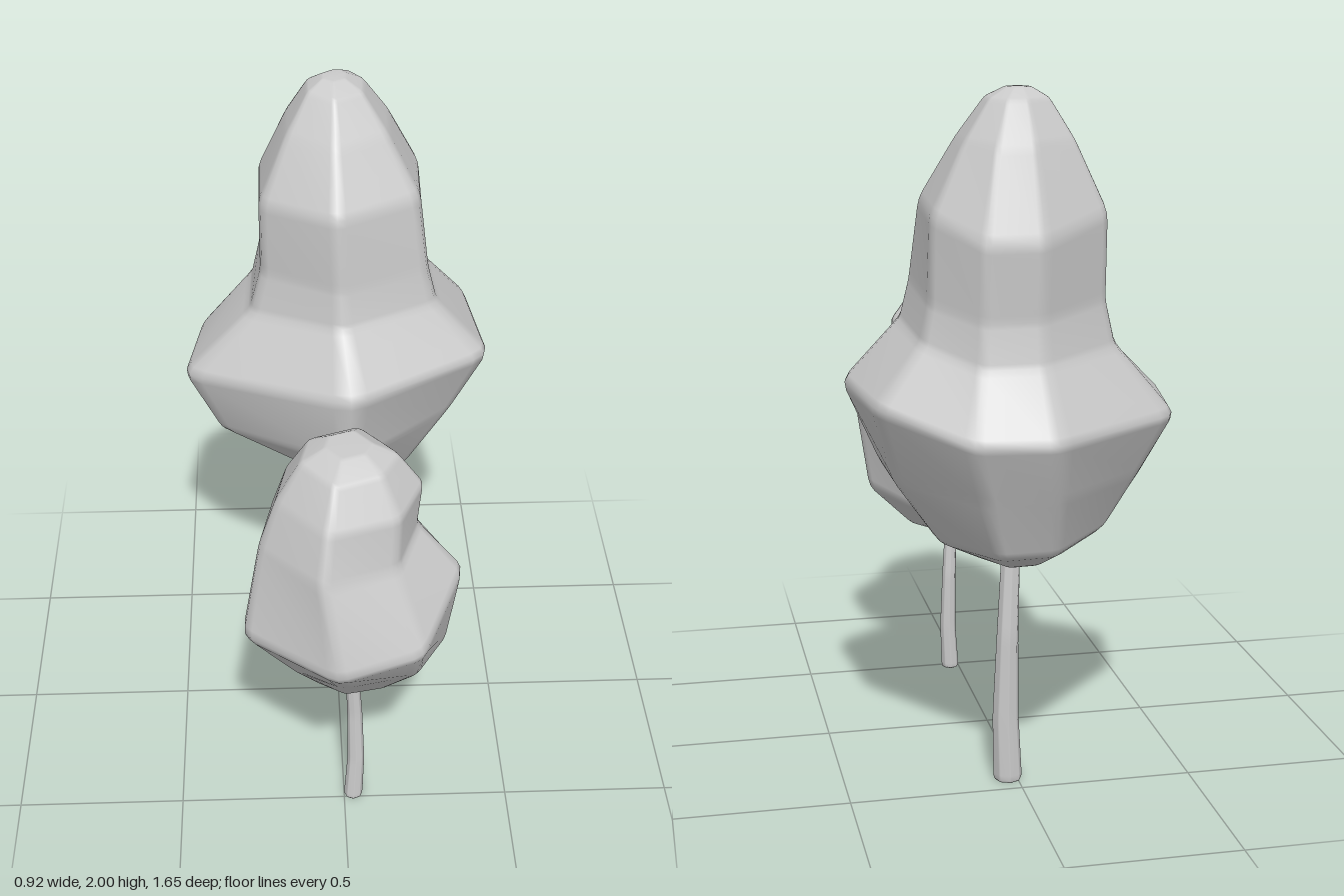
import * as THREE from 'three';
import { mergeVertices } from 'three/addons/utils/BufferGeometryUtils.js';

const mix = (a, b, t) => a.map((v, i) => v + (b[i] - v) * t);

// Replace each corner of a point list by a small three-point arc
function roundCorners(pts, closed, k = 0.11) {
  const n = pts.length, out = [];
  pts.forEach((p, i) => {
    if (!closed && (i === 0 || i === n - 1)) return out.push(p);
    const a = mix(p, pts[(i + n - 1) % n], k);
    const b = mix(p, pts[(i + 1) % n], k);
    out.push(a, mix(mix(a, b, 0.5), p, 0.5), b);
  });
  return out;
}

// Skin closed rings (bottom to top) with softened edges
function loft(rings) {
  const rows = rings.map((r) => roundCorners(r, true));
  const n = rows[0].length;
  const cols = Array.from({ length: n }, (_, j) => roundCorners(rows.map((r) => r[j]), false));
  const m = cols[0].length, index = [];
  for (let j = 0; j < n; j++) {
    for (let i = 0; i < m - 1; i++) {
      const a = j * m + i, d = ((j + 1) % n) * m + i;
      index.push(a, a + 1, d + 1, a, d + 1, d);
    }
  }
  const geo = new THREE.BufferGeometry();
  geo.setAttribute('position', new THREE.Float32BufferAttribute(cols.flat(2), 3));
  geo.setIndex(index);
  const merged = mergeVertices(geo, 1e-5);
  merged.computeVertexNormals();
  return merged;
}

// Copy of a ring shrunk towards an axis point and laid at height y
const shrink = (ring, [cx, cz], s, y) =>
  ring.map(([x, , z]) => [cx + (x - cx) * s, y, cz + (z - cz) * s]);

// Trunk from stations [x, y, z, radius], with closed ends
function trunkGeometry(stations, sides = 8) {
  const ring = ([x, y, z, r]) => Array.from({ length: sides }, (_, i) => {
    const t = (i / sides) * Math.PI * 2;
    return [x + r * Math.cos(t), y, z + r * Math.sin(t)];
  });
  const first = stations[0], last = stations[stations.length - 1];
  const cap = ([x, y, z]) => ring([x, y, z, 0]);
  return loft([cap(first), ...stations.map(ring), cap(last)]);
}

// Tall crown: seven columns, bulging below and waisted above
function tallCrown() {
  const axis = [0, -0.42];
  const low = [[-0.27, 0.8, -0.32], [-0.24, 0.77, -0.48], [-0.06, 0.75, -0.66], [0.1, 0.75, -0.67],
    [0.23, 0.74, -0.45], [0.22, 0.74, -0.23], [0.02, 0.74, -0.13]];
  const belly = [[-0.37, 0.87, -0.27], [-0.33, 0.93, -0.51], [-0.04, 0.93, -0.75], [0.15, 0.93, -0.74],
    [0.36, 0.93, -0.48], [0.37, 0.94, -0.26], [0.03, 0.94, 0.05]];
  const wide = [[-0.475, 1.1, -0.225], [-0.42, 1.1, -0.55], [-0.02, 1.1, -0.835], [0.2, 1.1, -0.81],
    [0.43, 1.17, -0.605], [0.475, 1.17, -0.2], [0.04, 1.18, 0.09]];
  const neck = [[-0.225, 1.44, -0.25], [-0.225, 1.43, -0.53], [-0.01, 1.4, -0.68], [0.15, 1.4, -0.69],
    [0.27, 1.43, -0.54], [0.28, 1.46, -0.22], [0.01, 1.46, -0.08]];
  const upper = [[-0.225, 1.67, -0.25], [-0.225, 1.67, -0.54], [-0.01, 1.61, -0.7], [0.15, 1.61, -0.705],
    [0.265, 1.67, -0.54], [0.25, 1.69, -0.24], [0, 1.69, -0.09]];
  const flare = neck.map((p, i) => {
    const [x, , z] = mix(p, wide[i], 0.14);
    return [x, mix(p, wide[i], 0.38)[1], z];
  });
  return loft([
    shrink(low, axis, 0, 0.66), shrink(low, axis, 0.5, 0.685), low, belly, wide, flare, neck, upper,
    shrink(upper, axis, 0.63, 1.86), shrink(upper, axis, 0.34, 1.97),
    shrink(upper, axis, 0.14, 1.998), shrink(upper, axis, 0, 2),
  ]);
}

// Small crown: six columns, egg shaped with a notch on one side
function smallCrown() {
  const axis = [0.01, 0.49];
  const low = [[-0.16, 0.61, 0.59], [-0.12, 0.6, 0.4], [0.12, 0.6, 0.25], [0.3, 0.645, 0.5],
    [0.2, 0.63, 0.65], [-0.01, 0.62, 0.69]];
  const wide = [[-0.3, 0.77, 0.62], [-0.21, 0.78, 0.34], [0.145, 0.75, 0.185], [0.34, 0.92, 0.51],
    [0.21, 0.8, 0.77], [-0.03, 0.77, 0.835]];
  const upper = [[-0.245, 1.04, 0.57], [-0.2, 1.06, 0.375], [0.09, 1.08, 0.26], [0.205, 1.07, 0.5],
    [0.14, 1.03, 0.66], [-0.07, 1.06, 0.775]];
  const shoulder = [[-0.195, 1.18, 0.55], [-0.155, 1.19, 0.375], [0.06, 1.22, 0.295], [0.22, 1.2, 0.495],
    [0.145, 1.18, 0.645], [-0.055, 1.19, 0.725]];
  return loft([
    shrink(low, axis, 0, 0.5), shrink(low, axis, 0.5, 0.508), low, wide, upper, shoulder,
    shrink(shoulder, axis, 0.66, 1.295), shrink(shoulder, axis, 0.32, 1.33), shrink(shoulder, axis, 0, 1.33),
  ]);
}

export function createModel() {
  const material = new THREE.MeshStandardMaterial({ color: 0xcccccc });
  const model = new THREE.Group();
  model.name = 'trees';

  const addTree = (name, crown, trunk) => {
    const tree = new THREE.Group();
    tree.name = name;
    [['crown', crown], ['trunk', trunk]].forEach(([part, geo]) => {
      const mesh = new THREE.Mesh(geo, material);
      mesh.name = part;
      tree.add(mesh);
    });
    model.add(tree);
  };

  addTree('tallTree', tallCrown(), trunkGeometry([
    [0.027, 0, -0.425, 0.043], [0.035, 0.2, -0.43, 0.039], [0.032, 0.45, -0.44, 0.032], [0.02, 0.72, -0.43, 0.027],
  ]));
  addTree('smallTree', smallCrown(), trunkGeometry([
    [0.028, 0, 0.485, 0.029], [0.036, 0.15, 0.48, 0.026], [0.032, 0.33, 0.475, 0.023], [0.02, 0.56, 0.485, 0.019],
  ]));
  return model;
}
